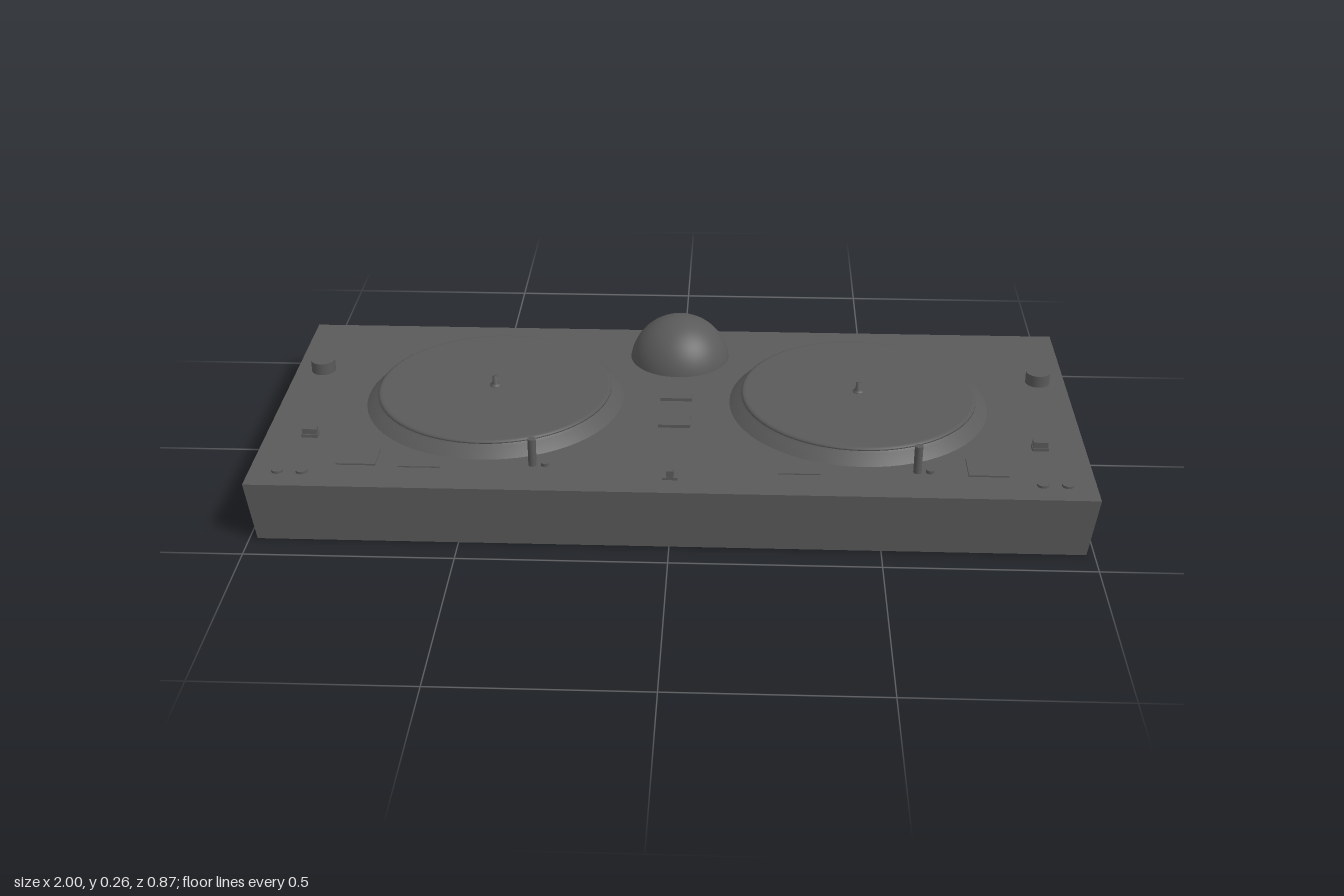
import * as THREE from 'three';

const material = new THREE.MeshStandardMaterial({ color: 0x5a5a5a, side: THREE.DoubleSide });
const DECK = 0.152; // height of the top panel

export function createModel() {
  const model = new THREE.Group();
  model.name = 'twinTurntableConsole';

  const add = (name, geometry, x, y, z) => {
    const mesh = new THREE.Mesh(geometry, material);
    mesh.name = name;
    mesh.position.set(x, y, z);
    model.add(mesh);
    return mesh;
  };
  // Parts that stand on the deck
  const box = (name, w, h, d, x, z) =>
    add(name, new THREE.BoxGeometry(w, h, d), x, DECK + h / 2, z);
  const post = (name, r, h, x, z) =>
    add(name, new THREE.CylinderGeometry(r, r, h, 20), x, DECK + h / 2, z);
  const turned = (name, profile, sides, x, y, z) =>
    add(name, new THREE.LatheGeometry(profile.map(([r, h]) => new THREE.Vector2(r, h)), sides), x, y, z);

  // Case: hollow, open below, walls leaning inward toward the bottom
  const shell = new THREE.BoxGeometry(2, DECK, 0.874);
  const p = shell.attributes.position;
  for (let i = 0; i < p.count; i++) {
    if (p.getY(i) < 0) p.setXYZ(i, p.getX(i) * 0.981, p.getY(i), p.getZ(i) * 0.981);
  }
  const index = Array.from(shell.index.array);
  index.splice(18, 6); // drop the bottom face
  shell.setIndex(index);
  shell.clearGroups();
  shell.computeVertexNormals();
  add('case', shell, 0, DECK / 2, 0);

  // Dome behind the middle
  const domeR = 0.131;
  add('dome', new THREE.SphereGeometry(domeR, 48, 20, 0, Math.PI * 2, 0, Math.PI * 0.46),
    0, 0.263 - domeR, -0.285);

  // Sloped ring, shadow gap and rounded platter edge in one smooth profile
  const platter = [[0.325, 0], [0.3, 0.022], [0.29, 0.025], [0.295, 0.027],
    [0.295, 0.031], [0.29, 0.034], [0.284, 0.034], [0, 0.034]];
  const spindle = [[0.014, 0], [0.014, 0.003], [0.007, 0.007], [0.007, 0.024], [0, 0.025]];

  for (const s of [-1, 1]) {
    // Turntable
    const x = 0.46 * s, z = -0.027;
    turned('platter', platter, 64, x, DECK, z);
    turned('spindle', spindle, 16, x, DECK + 0.034, z);

    // Rotary knob
    post('rotaryKnob', 0.031, 0.031, 0.93 * s, -0.163);

    // Slide switch, flat pad and sockets near the outer front corner
    box('slideSwitchFoot', 0.04, 0.008, 0.024, 0.89 * s, 0.193);
    box('slideSwitch', 0.036, 0.022, 0.018, 0.89 * s, 0.193);
    box('flatPad', 0.095, 0.004, 0.08, 0.752 * s, 0.295);
    for (const sx of [0.874, 0.932]) post('socket', 0.014, 0.006, sx * s, 0.37);

    // Upright lever, its low neighbour and a thin slot, repeated for each deck
    const lx = s < 0 ? -0.33 : 0.585;
    post('lever', 0.01, 0.071, lx, 0.317);
    post('leverButton', 0.01, 0.008, lx + 0.03, 0.317);
    box('pitchSlot', 0.1, 0.003, 0.012, s < 0 ? -0.6 : 0.305, 0.335);

    // Raised buttons in the middle
    box('centreButton', 0.08, 0.008, 0.05, 0, s < 0 ? -0.047 : 0.095);
  }

  // Cross slider at the front centre
  box('crossSliderFoot', 0.036, 0.006, 0.04, 0, 0.358);
  box('crossSlider', 0.018, 0.023, 0.038, 0, 0.358);

  return model;
}
